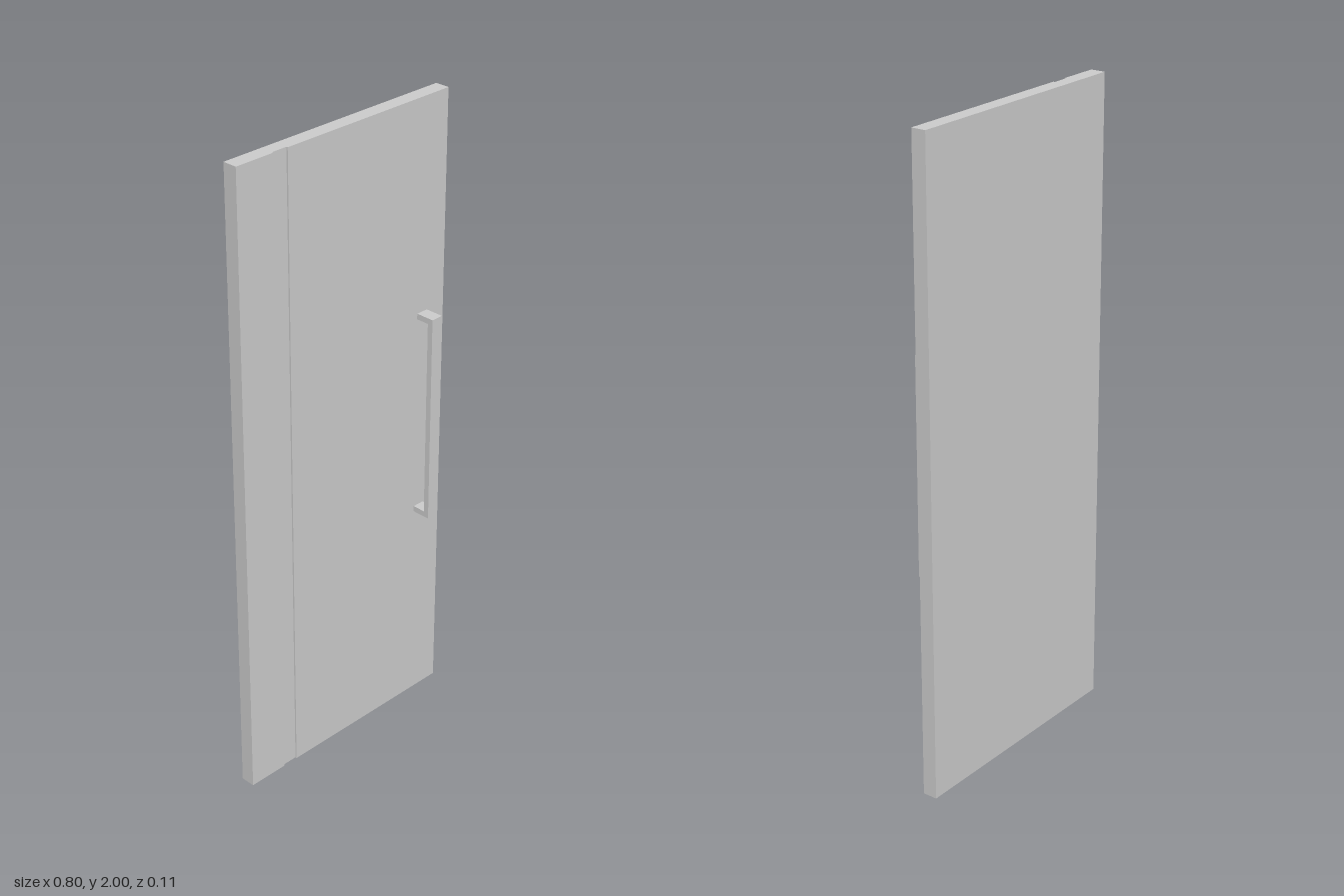
import * as THREE from 'three';

const material = new THREE.MeshStandardMaterial({ color: 0xcccccc, flatShading: true });

// Straight extrusion of a closed outline
function extrude(points, depth) {
  const shape = new THREE.Shape(points.map(([a, b]) => new THREE.Vector2(a, b)));
  return new THREE.ExtrudeGeometry(shape, { depth, bevelEnabled: false });
}

function addPart(group, name, geometry) {
  const mesh = new THREE.Mesh(geometry, material);
  mesh.name = name;
  group.add(mesh);
}

export function createModel() {
  const group = new THREE.Group();
  group.name = 'door';

  const back = -0.053, front = -0.007, groove = -0.012;
  const lean = 0.003; // the panel leans very slightly sideways

  // Door panel: plan outline (x, -z) with a shallow vertical groove, raised to full height
  const panel = extrude([
    [-0.4, -front], [-0.27, -front], [-0.27, -groove], [-0.218, -groove],
    [-0.218, -front], [0.4 - lean, -front], [0.4 - lean, -back], [-0.4, -back],
  ], 2);
  panel.rotateX(-Math.PI / 2);
  panel.applyMatrix4(new THREE.Matrix4().makeShear(0, 0, lean / 2, 0, 0, 0));
  addPart(group, 'doorPanel', panel);

  // Pull handle: C-shaped side outline (z, y), extruded across its width
  const bottom = 0.667, top = 1.34, outer = 0.053, bar = 0.018;
  const handle = extrude([
    [front, bottom], [outer, bottom], [outer, top], [front, top],
    [front, top - bar], [outer - bar, top - bar],
    [outer - bar, bottom + bar], [front, bottom + bar],
  ], 0.04);
  handle.rotateY(-Math.PI / 2).translate(0.33, 0, 0);
  addPart(group, 'pullHandle', handle);

  return group;
}
